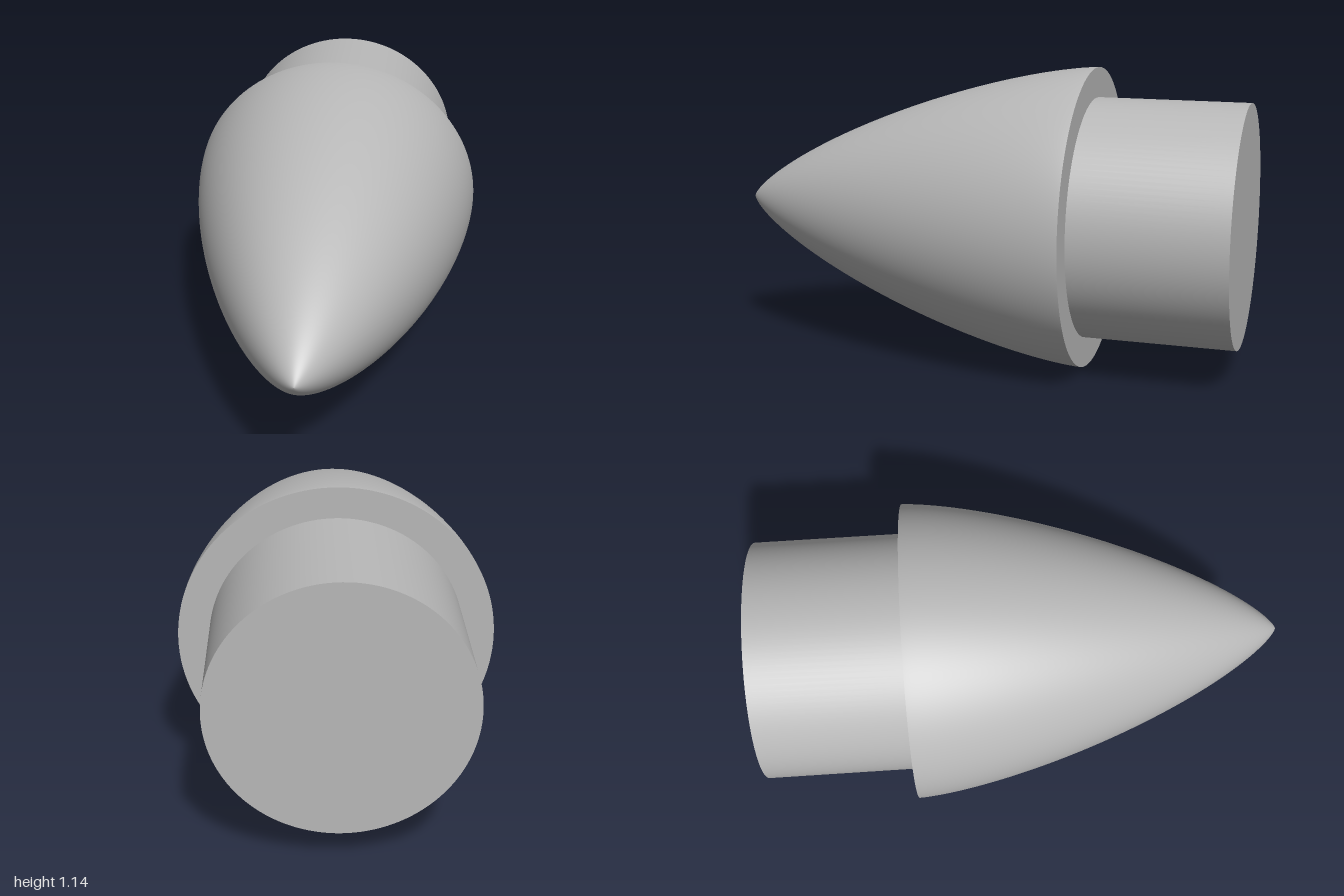
import * as THREE from 'three';

const RADIUS = 0.57, SHOULDER = 0.457, TIP = 1, BASE = -0.427, BACK = -1, SIDES = 128;

export function createModel() {
  const group = new THREE.Group();
  group.name = 'noseCone';
  const grey = new THREE.MeshStandardMaterial({ color: 0xb8b8b8 });
  grey.name = 'grey';

  // Parts are turned around y, then laid along z and raised to the axis height
  const add = (name, geometry) => {
    geometry.rotateX(Math.PI / 2);
    const mesh = new THREE.Mesh(geometry, grey);
    mesh.name = name;
    mesh.position.y = RADIUS;
    group.add(mesh);
  };

  // Curved shell: a minimum-drag profile, from the base rim to the tip
  const length = TIP - BASE, steps = 64, profile = [];
  for (let i = steps; i >= 0; i--) {
    const a = Math.PI * i / steps;
    const r = RADIUS * Math.sqrt(Math.max(0, a - Math.sin(2 * a) / 2) / Math.PI);
    profile.push(new THREE.Vector2(r, TIP - length * (1 - Math.cos(a)) / 2));
  }
  add('shell', new THREE.LatheGeometry(profile, SIDES));

  // Flat step behind the shell
  add('baseRing', new THREE.LatheGeometry(
    [new THREE.Vector2(SHOULDER, BASE), new THREE.Vector2(RADIUS, BASE)], SIDES));

  // Shoulder plug, closed at the back
  const plug = new THREE.CylinderGeometry(SHOULDER, SHOULDER, BASE - BACK, SIDES);
  plug.translate(0, (BASE + BACK) / 2, 0);
  add('shoulder', plug);

  return group;
}
